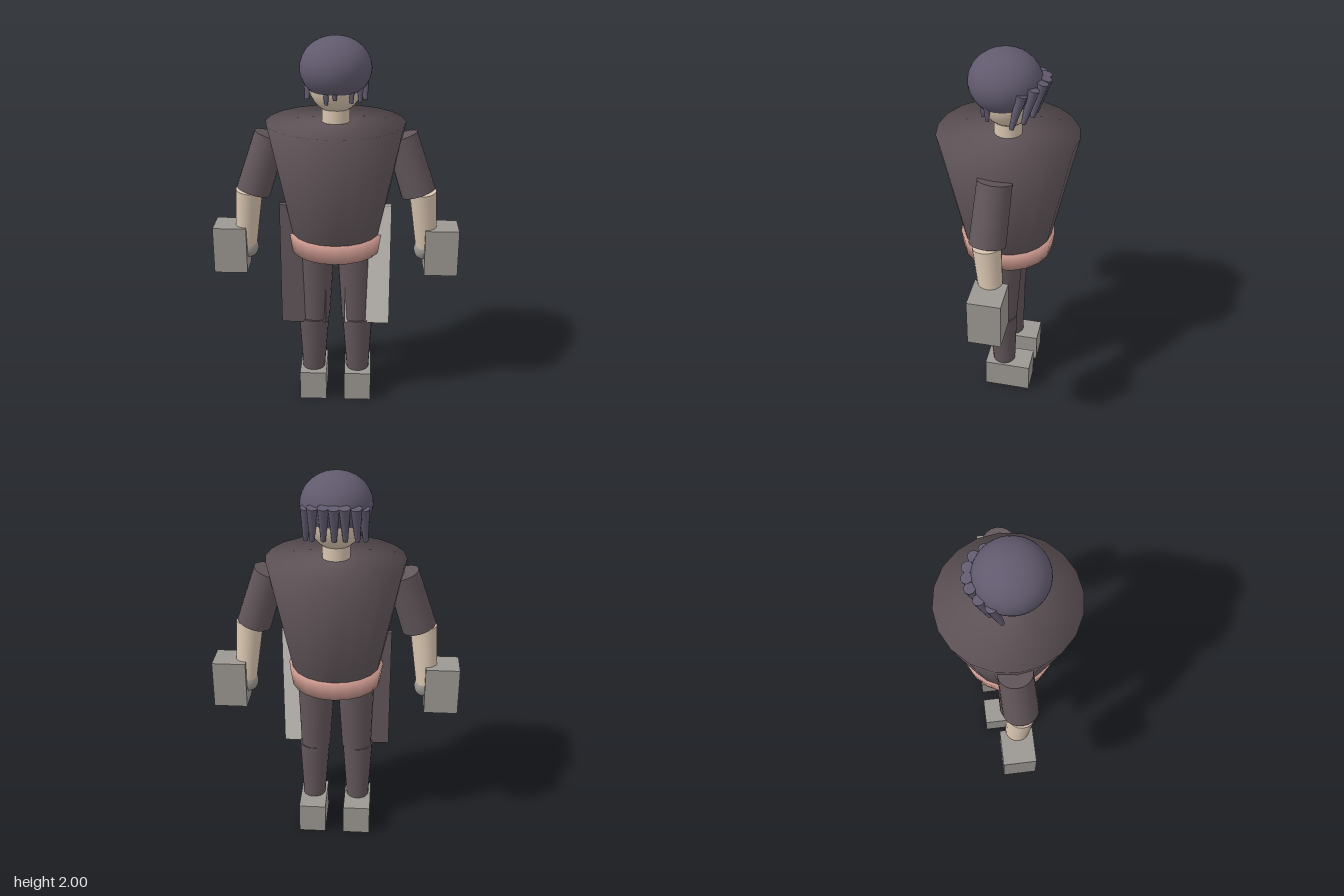
import * as THREE from 'three';
import { mergeVertices } from 'three/addons/utils/BufferGeometryUtils.js';

const mat = (color) => new THREE.MeshStandardMaterial({ color });

export function createModel() {
  const model = new THREE.Group();
  model.name = 'figure';
  const cloth = mat(0x62565a);
  const skin = mat(0xd9c5b0);
  const sash = mat(0xc4938a);
  const hair = mat(0x615a6e);
  const grey = mat(0x9c9893);
  const pale = mat(0xcfcbc5);
  const UP = new THREE.Vector3(0, 1, 0);

  function add(name, geometry, material, x = 0, y = 0, z = 0, parent = model) {
    const mesh = new THREE.Mesh(geometry, material);
    mesh.name = name;
    mesh.position.set(x, y, z);
    parent.add(mesh);
    return mesh;
  }

  // Box given by its two opposite corners
  function box(name, a, b, material, parent) {
    const size = b.map((v, i) => Math.abs(v - a[i]));
    const mid = b.map((v, i) => (v + a[i]) / 2);
    return add(name, new THREE.BoxGeometry(...size), material, ...mid, parent);
  }

  // Tapered round limb running from point a (top) to point b (bottom)
  function limb(name, a, b, rTop, rBottom, material, parent, sides = 20) {
    const top = new THREE.Vector3(...a);
    const bottom = new THREE.Vector3(...b);
    const axis = top.clone().sub(bottom);
    const geometry = new THREE.CylinderGeometry(rTop, rBottom, axis.length(), sides);
    const mid = top.add(bottom).multiplyScalar(0.5);
    const mesh = add(name, geometry, material, mid.x, mid.y, mid.z, parent);
    mesh.quaternion.setFromUnitVectors(UP, axis.normalize());
    return mesh;
  }

  // Upright drum whose caps shade smoothly into the wall
  function softDrum(name, rTop, rBottom, y0, y1, material) {
    let g = new THREE.CylinderGeometry(rTop, rBottom, y1 - y0, 20);
    g.deleteAttribute('uv');
    g.deleteAttribute('normal');
    g = mergeVertices(g);
    g.computeVertexNormals();
    return add(name, g, material, 0, (y0 + y1) / 2, 0);
  }

  // Trunk
  softDrum('torso', 0.353, 0.228, 0.98, 1.575, cloth);
  softDrum('waistband', 0.247, 0.232, 0.89, 0.99, sash);
  limb('neck', [0, 1.66, 0], [0, 1.55, 0], 0.07, 0.07, skin);

  // Head and hair cap
  add('head', new THREE.SphereGeometry(1, 32, 20), skin, 0, 1.78, 0).scale.set(0.14, 0.16, 0.14);
  const cap = new THREE.SphereGeometry(1, 36, 20, 0, Math.PI * 2, 0, 2.36);
  const hairCap = add('hairCap', cap, hair, 0, 1.845, 0.014);
  hairCap.scale.set(0.178, 0.155, 0.178);
  hairCap.material = hair.clone();
  hairCap.material.side = THREE.DoubleSide;

  // Hanging locks around the back of the head
  const locks = [[0, -0.18, 1.875], [0.05, -0.172, 1.875], [0.103, -0.14, 1.865], [0.138, -0.09, 1.85]];
  for (const [x, z, y] of locks) {
    for (const s of x ? [1, -1] : [1]) {
      limb('backLock', [s * x, y, z], [s * x * 1.06, y - 0.175, z + 0.045], 0.028, 0.012, hair, model, 12);
    }
  }

  // Short fringe over the forehead
  const fringe = [[-0.042, 0.122, 1.685], [0, 0.132, 1.71], [0.08, 0.105, 1.69], [0.122, 0.075, 1.69]];
  for (const [x, z, y] of fringe) {
    limb('fringeLock', [x, 1.765, z], [x, y, z], 0.017, 0.009, hair, model, 10);
  }

  // Arms, legs and hanging panels, mirrored
  for (const s of [1, -1]) {
    const side = s > 0 ? 'left' : 'right';
    const arm = new THREE.Group();
    arm.name = side + 'Arm';
    limb('upperArm', [s * 0.33, 1.5, -0.007], [s * 0.425, 1.205, 0.01], 0.084, 0.09, cloth, arm);
    limb('forearm', [s * 0.448, 1.21, 0.008], [s * 0.477, 0.9, -0.02], 0.07, 0.056, skin, arm);
    add('fist', new THREE.SphereGeometry(1, 20, 14), grey, s * 0.465, 0.878, -0.02, arm)
      .scale.set(0.052, 0.058, 0.052);
    box('handBlock', [s * 0.467, 0.76, -0.1], [s * 0.642, 1.01, 0.065], grey, arm);

    const leg = new THREE.Group();
    leg.name = side + 'Leg';
    limb('thigh', [s * 0.105, 0.92, 0], [s * 0.112, 0.49, 0.008], 0.1, 0.08, cloth, leg);
    limb('shin', [s * 0.118, 0.49, 0.008], [s * 0.122, 0.15, -0.005], 0.082, 0.06, cloth, leg);
    box('foot', [s * 0.05, 0, -0.16], [s * 0.195, 0.165, 0.09], grey, leg);

    const panel = box('hipPanel', [s * 0.05, 0.475, 0.037], [s * 0.288, 1.15, 0.07], s > 0 ? pale : cloth, model);
    panel.name = side + 'HipPanel';
    model.add(arm, leg);
  }
  return model;
}
